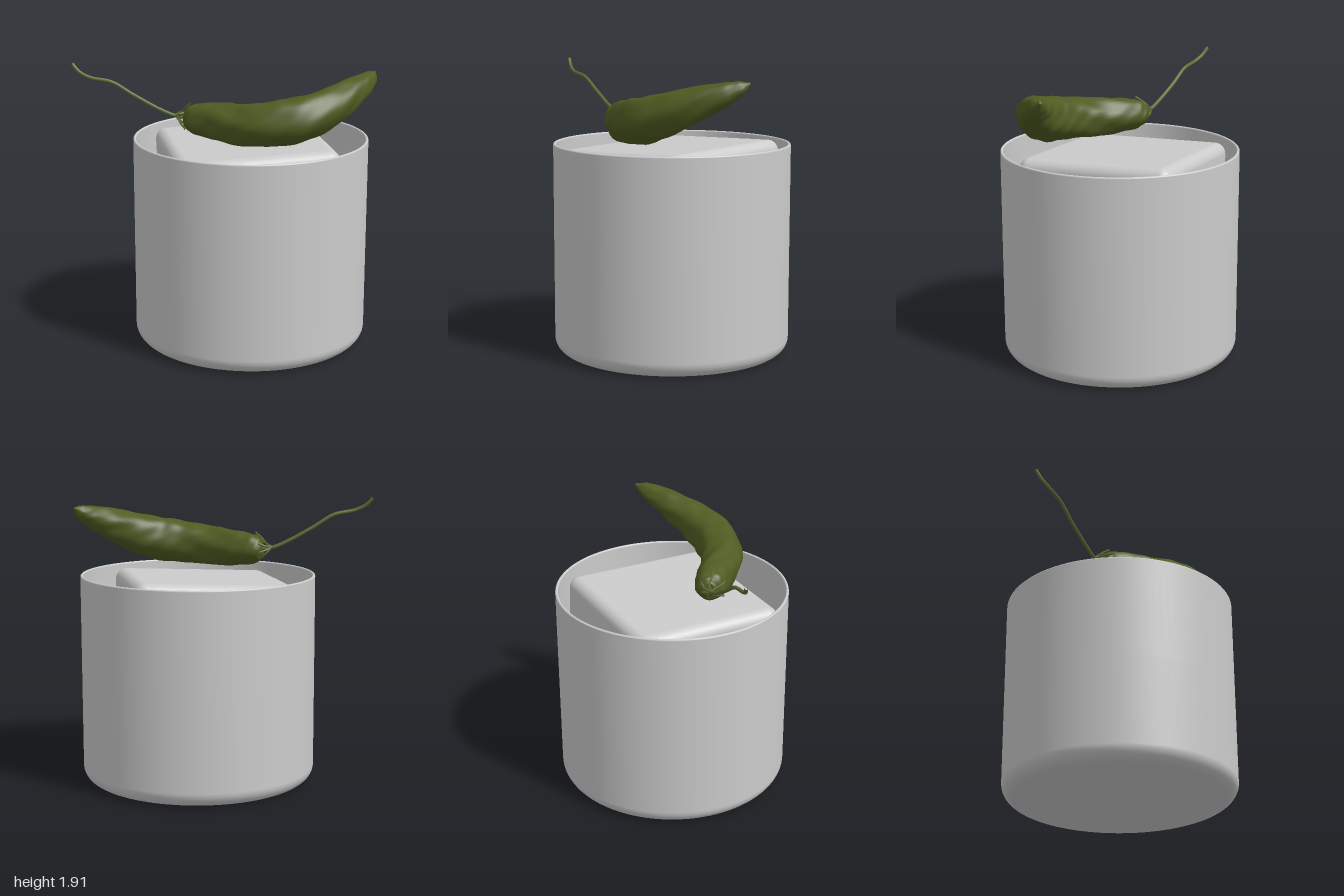
import * as THREE from 'three';
import { RoundedBoxGeometry } from 'three/addons/geometries/RoundedBoxGeometry.js';

const V = (x, y, z) => new THREE.Vector3(x, y, z);
const material = (color) => new THREE.MeshStandardMaterial({ color });
const CUP_X = 0.18;

function part(name, geometry, mat) {
  const mesh = new THREE.Mesh(geometry, mat);
  mesh.name = name;
  return mesh;
}

// Corner arc in profile space, for rounded lathe edges
function arc(cx, cy, r, from, to, steps) {
  return Array.from({ length: steps + 1 }, (_, i) => {
    const a = from + ((to - from) * i) / steps;
    return new THREE.Vector2(cx + r * Math.cos(a), cy + r * Math.sin(a));
  });
}

// Tapered, bumpy pod swept along a curve; radii are spaced evenly like the points
function podGeometry(points, radii, rings = 110, sides = 40) {
  const curve = new THREE.CatmullRomCurve3(points);
  const radiusCurve = new THREE.SplineCurve(radii.map((r, i) => new THREE.Vector2(i, r)));
  const pos = [], index = [];
  for (let i = 0; i <= rings; i++) {
    const t = i / rings;
    const c = curve.getPoint(t), tangent = curve.getTangent(t);
    const side = V(0, 1, 0).cross(tangent).normalize();
    const up = tangent.clone().cross(side);
    const r = radiusCurve.getPoint(t).y;
    for (let j = 0; j < sides; j++) {
      const a = (j / sides) * Math.PI * 2;
      const bump = 1 + 0.035 * Math.sin(5 * a + 3 * Math.sin(t * 9))
        + 0.03 * Math.sin(t * 62 + 2 * Math.sin(2 * a)) * Math.sin(3 * a + t * 11);
      const p = c.clone()
        .addScaledVector(side, Math.cos(a) * r * bump)
        .addScaledVector(up, Math.sin(a) * r * bump);
      pos.push(p.x, p.y, p.z);
      if (i < rings) {
        const k = i * sides + j, n = i * sides + ((j + 1) % sides);
        index.push(k, n, k + sides, n, n + sides, k + sides);
      }
    }
  }
  // Close both ends
  [0, rings].forEach((ring) => {
    const c = curve.getPoint(ring / rings), apex = pos.length / 3;
    pos.push(c.x, c.y, c.z);
    for (let j = 0; j < sides; j++) {
      const k = ring * sides + j, n = ring * sides + ((j + 1) % sides);
      index.push(...(ring ? [apex, k, n] : [apex, n, k]));
    }
  });
  const g = new THREE.BufferGeometry();
  g.setAttribute('position', new THREE.Float32BufferAttribute(pos, 3));
  g.setIndex(index);
  g.computeVertexNormals();
  return g;
}

export function createModel() {
  const model = new THREE.Group();
  model.name = 'drinkWithPepper';
  const grey = material(0xcccccc);
  grey.side = THREE.DoubleSide;

  // Cup: outer wall, rounded lip, inner wall and floor in one profile
  const h = Math.PI / 2;
  const cup = part('cup', new THREE.LatheGeometry([
    new THREE.Vector2(0, 0.03), new THREE.Vector2(0.07, 0.012),
    new THREE.Vector2(0.09, 0.005), new THREE.Vector2(0.4, 0.002),
    ...arc(0.685, 0.1, 0.1, -h, 0, 10),
    new THREE.Vector2(0.785, 0.7),
    ...arc(0.775, 1.39, 0.01, 0, 2 * h, 6),
    new THREE.Vector2(0.765, 0.7),
    ...arc(0.675, 0.13, 0.09, 0, -h, 8),
    new THREE.Vector2(0, 0.04),
  ], 96), grey);
  cup.position.x = CUP_X;
  model.add(cup);

  // Drink with a slightly dished surface
  const drink = part('drink', new THREE.LatheGeometry([
    new THREE.Vector2(0, 0.06),
    ...arc(0.67, 0.14, 0.08, -h, 0, 6),
    new THREE.Vector2(0.762, 0.7),
    new THREE.Vector2(0.72, 0.685), new THREE.Vector2(0.6, 0.66),
    new THREE.Vector2(0.35, 0.62), new THREE.Vector2(0, 0.6),
  ], 96), material(0xf29444));
  drink.position.x = CUP_X;
  model.add(drink);

  // Large tilted ice block
  const ice = part('iceCube', new RoundedBoxGeometry(1.07, 1.05, 1.06, 6, 0.075), grey);
  ice.position.set(0.16, 0.855, -0.03);
  ice.rotation.set(0.025, 0.115, 0.04);
  model.add(ice);

  // Pepper pod
  const green = material(0x4f5c22);
  const stemGreen = material(0x5f6e35);
  const pepper = new THREE.Group();
  pepper.name = 'pepper';
  const pod = [
    [-0.265, 1.555, 0.07, 0.04], [-0.245, 1.554, 0.078, 0.075], [-0.2, 1.55, 0.105, 0.1],
    [-0.08, 1.55, 0.195, 0.12], [0.08, 1.55, 0.315, 0.132], [0.25, 1.57, 0.39, 0.142],
    [0.42, 1.595, 0.41, 0.147], [0.6, 1.645, 0.37, 0.13], [0.78, 1.72, 0.27, 0.102],
    [0.9, 1.775, 0.175, 0.072], [0.96, 1.81, 0.115, 0.045], [0.995, 1.835, 0.07, 0.01],
  ];
  pepper.add(part('pepperPod',
    podGeometry(pod.map(([x, y, z]) => V(x, y, z)), pod.map((p) => p[3])), green));

  // Long curling stem
  const stem = new THREE.CatmullRomCurve3([
    V(-0.24, 1.55, 0.08), V(-0.32, 1.56, 0.06), V(-0.42, 1.6, 0.05), V(-0.6, 1.7, 0.03),
    V(-0.74, 1.785, 0.02), V(-0.88, 1.815, 0.01), V(-0.95, 1.85, -0.01), V(-0.995, 1.9, -0.03),
  ]);
  pepper.add(part('stem', new THREE.TubeGeometry(stem, 64, 0.012, 10), stemGreen));

  // Thin calyx fingers fanning from the stem around the pod's shoulder
  const axis = V(0.8, 0, 0.6), side = V(-0.6, 0, 0.8);
  for (let i = 0; i < 6; i++) {
    const a = (i / 6) * Math.PI * 2 + 0.4;
    const out = side.clone().multiplyScalar(Math.cos(a)).add(V(0, Math.sin(a), 0));
    const at = (along, r) => V(-0.265, 1.555, 0.07).addScaledVector(axis, along).addScaledVector(out, r);
    const finger = new THREE.CatmullRomCurve3([
      V(-0.33, 1.565, 0.06), at(-0.025, 0.035), at(0.012, 0.068), at(0.065, i % 2 ? 0.105 : 0.1),
    ]);
    pepper.add(part('calyxFinger', new THREE.TubeGeometry(finger, 16, 0.007, 6), stemGreen));
  }
  model.add(pepper);
  return model;
}
